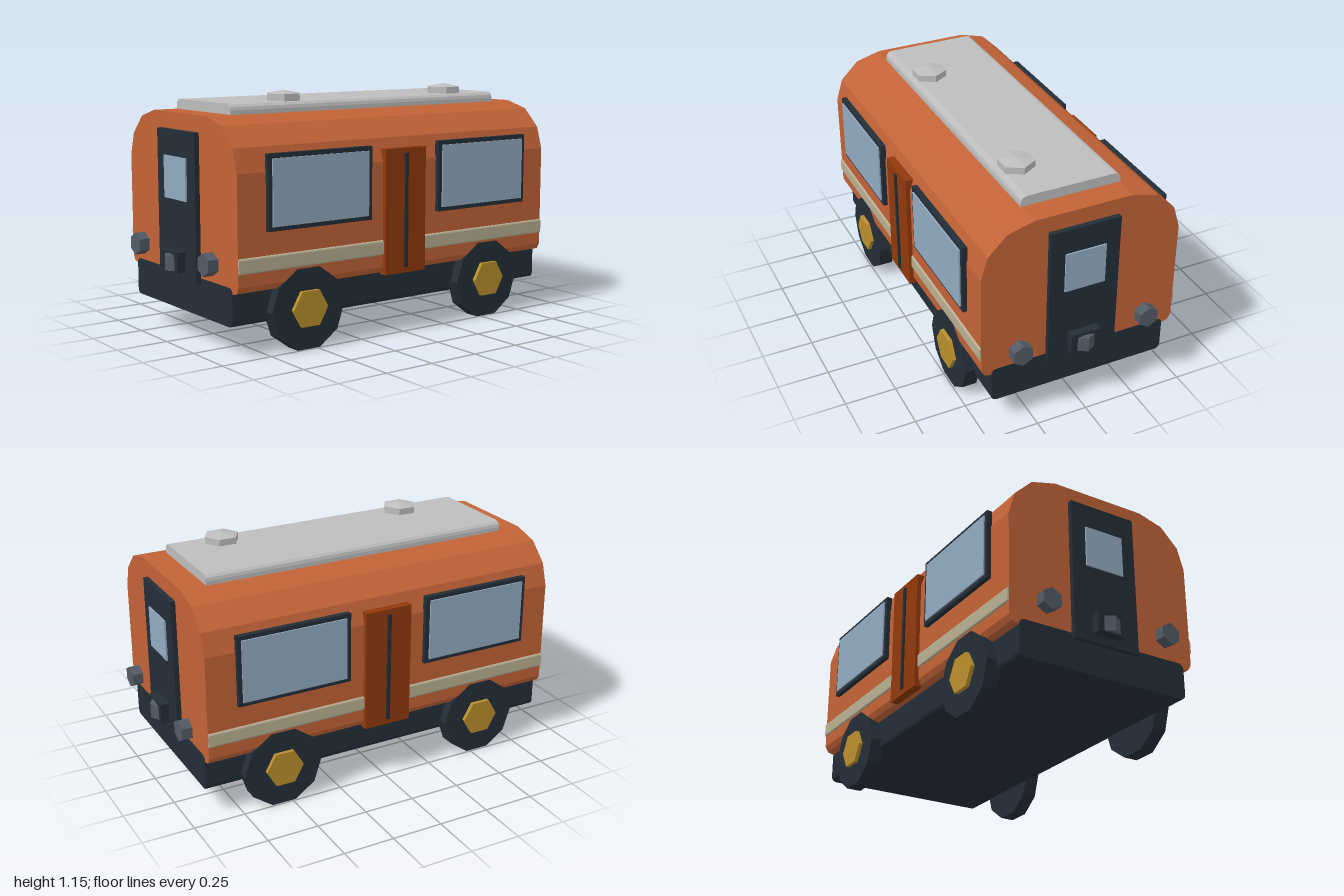
import * as THREE from 'three';

const mat = (name, color) => {
  const m = new THREE.MeshStandardMaterial({ color });
  m.name = name;
  return m;
};

export function createModel() {
  const paint = mat('orangePaint', 0xc26337);
  const rust = mat('rustDoor', 0x91390c);
  const dark = mat('darkTrim', 0x232e37);
  const glass = mat('glass', 0x92aac0);
  const cream = mat('creamStripe', 0xb9af92);
  const gold = mat('goldHub', 0xb98f2c);
  const silver = mat('silverRoof', 0xbdbdbd);
  const steel = mat('steelLamp', 0x515a66);

  const van = new THREE.Group();
  van.name = 'camperVan';

  const add = (name, geo, material, x = 0, y = 0, z = 0) => {
    const flat = geo.index ? geo.toNonIndexed() : geo;
    flat.computeVertexNormals();
    const mesh = new THREE.Mesh(flat, material);
    mesh.name = name;
    mesh.position.set(x, y, z);
    van.add(mesh);
    return mesh;
  };
  // Box given by its lower and upper corners
  const box = (name, material, [x0, y0, z0], [x1, y1, z1]) =>
    add(name, new THREE.BoxGeometry(Math.abs(x1 - x0), Math.abs(y1 - y0), Math.abs(z1 - z0)),
      material, (x0 + x1) / 2, (y0 + y1) / 2, (z0 + z1) / 2);
  // Symmetric cross-section (right half, bottom to top) drawn out along z
  const hull = (name, material, half, length) => {
    const pts = [...half, ...half.map(([x, y]) => [-x, y]).reverse()];
    const shape = new THREE.Shape(pts.map(([x, y]) => new THREE.Vector2(x, y)));
    const geo = new THREE.ExtrudeGeometry(shape, { depth: length, bevelEnabled: false });
    return add(name, geo.translate(0, 0, -length / 2), material);
  };
  // Half of a rectangle with softened corners
  const softHalf = (w, y0, y1, rBottom, rTop) => {
    const pts = [];
    const corner = (cy, r, start) => {
      if (r === 0) { pts.push([w, cy]); return; }
      for (let i = 0; i <= 3; i++) {
        const a = start + (i / 3) * Math.PI / 2;
        pts.push([w - r + r * Math.cos(a), cy + r * Math.sin(a)]);
      }
    };
    corner(y0 + rBottom, rBottom, -Math.PI / 2);
    corner(y1 - rTop, rTop, 0);
    return pts;
  };

  // Shell, chassis, waist stripe and roof panel
  hull('bodyShell', paint, [
    [0.44, 0.288], [0.475, 0.298], [0.49, 0.325], [0.49, 0.82],
    [0.457, 0.928], [0.367, 1.017], [0.24, 1.052],
  ], 1.82);
  hull('chassis', dark, softHalf(0.442, 0.14, 0.316, 0.025, 0.025), 1.824);
  hull('waistStripe', cream, softHalf(0.498, 0.382, 0.454, 0.01, 0.01), 1.818);
  hull('roofPanel', silver, softHalf(0.245, 1.04, 1.1, 0, 0.03), 1.576);

  // Roof vents: hexagonal drum with a low cap
  for (const z of [0.442, -0.542]) {
    add('roofVent', new THREE.CylinderGeometry(0.085, 0.085, 0.035, 6), silver, 0.146, 1.1145, z);
    add('roofVentCap', new THREE.ConeGeometry(0.085, 0.016, 6, 1, true), silver, 0.146, 1.14, z);
  }

  for (const s of [1, -1]) {
    // Side windows and wheels
    for (const e of [1, -1]) {
      box('sideWindowFrame', dark, [s * 0.485, 0.56, e * 0.2], [s * 0.511, 0.9, e * 0.765]);
      box('sideWindowPane', glass, [s * 0.511, 0.58, e * 0.222], [s * 0.518, 0.88, e * 0.745]);

      const tyre = new THREE.CylinderGeometry(0.196, 0.196, 0.072, 10).rotateZ(Math.PI / 2);
      add('tyre', tyre, dark, s * 0.456, 0.187, e * 0.542);
      const hub = new THREE.CylinderGeometry(0.094, 0.094, 0.04, 6).rotateZ(Math.PI / 2);
      add('wheelHub', hub, gold, s * 0.491, 0.19, e * 0.542);
    }
    // Side doors with a central seam
    box('sideDoor', rust, [s * 0.47, 0.288, -0.12], [s * 0.511, 0.88, 0.12]);
    box('sideDoorSeam', dark, [s * 0.511, 0.315, -0.009], [s * 0.52, 0.855, 0.009]);

    // End panel with window, lamps and coupling; s picks front or back
    box('endDoor', dark, [-0.172, 0.288, s * 0.9], [0.172, 0.975, s * 0.934]);
    box('endDoorPane', glass, [-0.1, 0.658, s * 0.934], [0.1, 0.855, s * 0.942]);
    box('couplingMount', dark, [-0.074, 0.328, s * 0.93], [0.074, 0.425, s * 0.975]);
    add('coupling', new THREE.CylinderGeometry(0.05, 0.05, 0.072, 6), steel, 0, 0.371, s * 0.95);
    add('couplingCap', new THREE.ConeGeometry(0.05, 0.014, 6, 1, true), steel, 0, 0.414, s * 0.95);
    for (const e of [1, -1]) {
      const lamp = new THREE.CylinderGeometry(0.053, 0.053, 0.052, 6).rotateX(Math.PI / 2);
      add('endLamp', lamp, steel, e * 0.32, 0.41, s * 0.96);
    }
  }
  return van;
}
